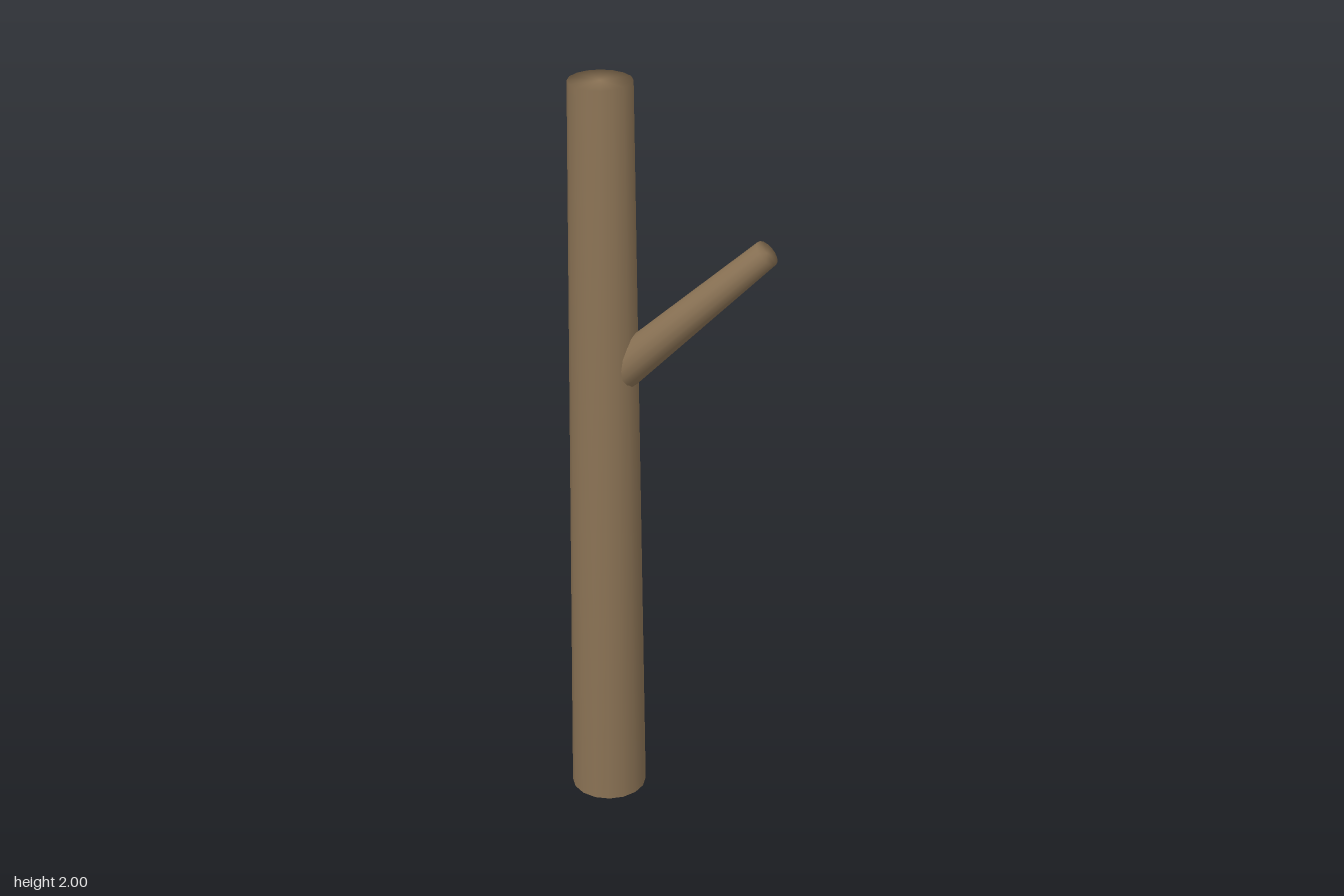
import * as THREE from 'three';
import { mergeVertices } from 'three/addons/utils/BufferGeometryUtils.js';

const bark = new THREE.MeshStandardMaterial({ color: 0x8b7355 });
bark.name = 'bark';

// Tapered 16-sided limb between two points, with normals smoothed across the cap edges
function limb(name, start, end, startRadius, endRadius) {
  const axis = end.clone().sub(start);
  const cylinder = new THREE.CylinderGeometry(endRadius, startRadius, axis.length(), 16, 1);
  cylinder.deleteAttribute('normal');
  cylinder.deleteAttribute('uv');
  const geometry = mergeVertices(cylinder, 1e-4);
  geometry.clearGroups();
  geometry.computeVertexNormals();

  const mesh = new THREE.Mesh(geometry, bark);
  mesh.name = name;
  mesh.position.copy(start).lerp(end, 0.5);
  mesh.quaternion.setFromUnitVectors(new THREE.Vector3(0, 1, 0), axis.normalize());
  return mesh;
}

export function createModel() {
  const group = new THREE.Group();
  group.name = 'bareTree';
  const trunkX = -0.178;

  // Upright trunk
  group.add(limb('trunk', new THREE.Vector3(trunkX, 0, 0), new THREE.Vector3(trunkX, 2, 0), 0.1, 0.08));
  // Side branch, rooted on the trunk's axis
  group.add(limb('branch', new THREE.Vector3(trunkX, 1.2, 0), new THREE.Vector3(0.25, 1.62, 0), 0.055, 0.035));
  return group;
}
